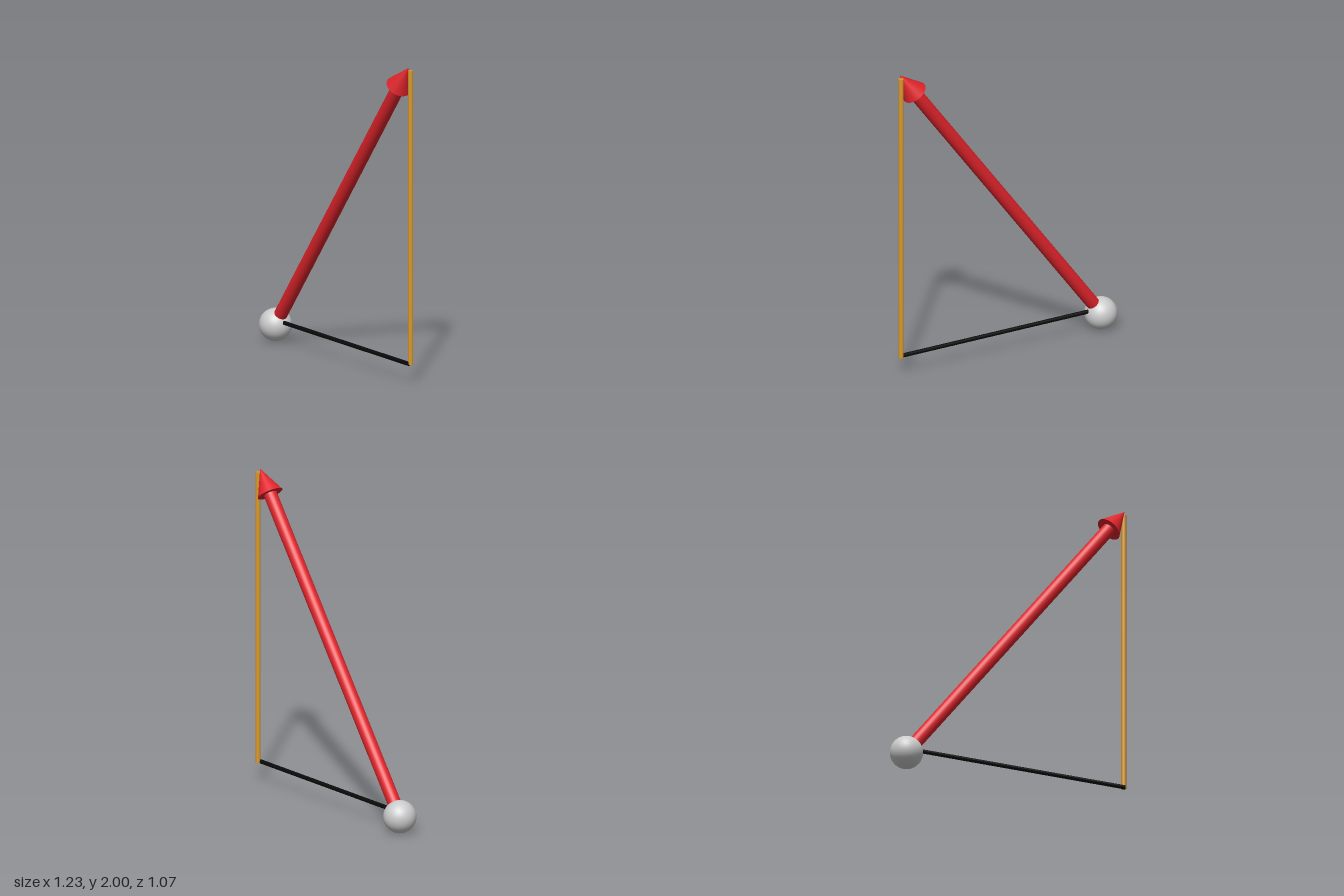
import * as THREE from 'three';

export function createModel() {
  const group = new THREE.Group();
  const material = (color) => new THREE.MeshStandardMaterial({ color });
  const red = material(0xe0242b);
  const gold = material(0xd9992b);
  const black = material(0x0a0a0a);
  const grey = material(0xcccccc);

  // Round bar running from one point to another
  function bar(name, from, to, startRadius, endRadius, mat, sides = 32) {
    const direction = to.clone().sub(from);
    const geometry = new THREE.CylinderGeometry(endRadius, startRadius, direction.length(), sides);
    const mesh = new THREE.Mesh(geometry, mat);
    mesh.name = name;
    mesh.position.copy(from).add(to).multiplyScalar(0.5);
    mesh.quaternion.setFromUnitVectors(new THREE.Vector3(0, 1, 0), direction.normalize());
    group.add(mesh);
  }

  const origin = new THREE.Vector3(-0.512, 0.103, -0.435);
  const tip = new THREE.Vector3(0.585, 2.0, 0.523);
  const headLength = 0.172;
  const axis = tip.clone().sub(origin).normalize();
  const headBase = tip.clone().addScaledVector(axis, -headLength);

  // Ball at the tail of the arrow
  const ball = new THREE.Mesh(new THREE.SphereGeometry(0.103, 32, 24), grey);
  ball.name = 'originBall';
  ball.position.copy(origin);
  group.add(ball);

  // Arrow: shaft and cone head
  bar('arrowShaft', origin, headBase, 0.042, 0.042, red);
  bar('arrowHead', headBase, tip, 0.081, 0, red);

  // Upright component beside the tip
  bar('uprightRod', new THREE.Vector3(0.596, 0.125, 0.512), new THREE.Vector3(0.596, 1.982, 0.512),
    0.016, 0.016, gold, 16);

  // Level component from the ball to the foot of the upright
  bar('groundRod', new THREE.Vector3(-0.5, 0.13, -0.425), new THREE.Vector3(0.588, 0.13, 0.524),
    0.013, 0.013, black, 16);

  return group;
}
